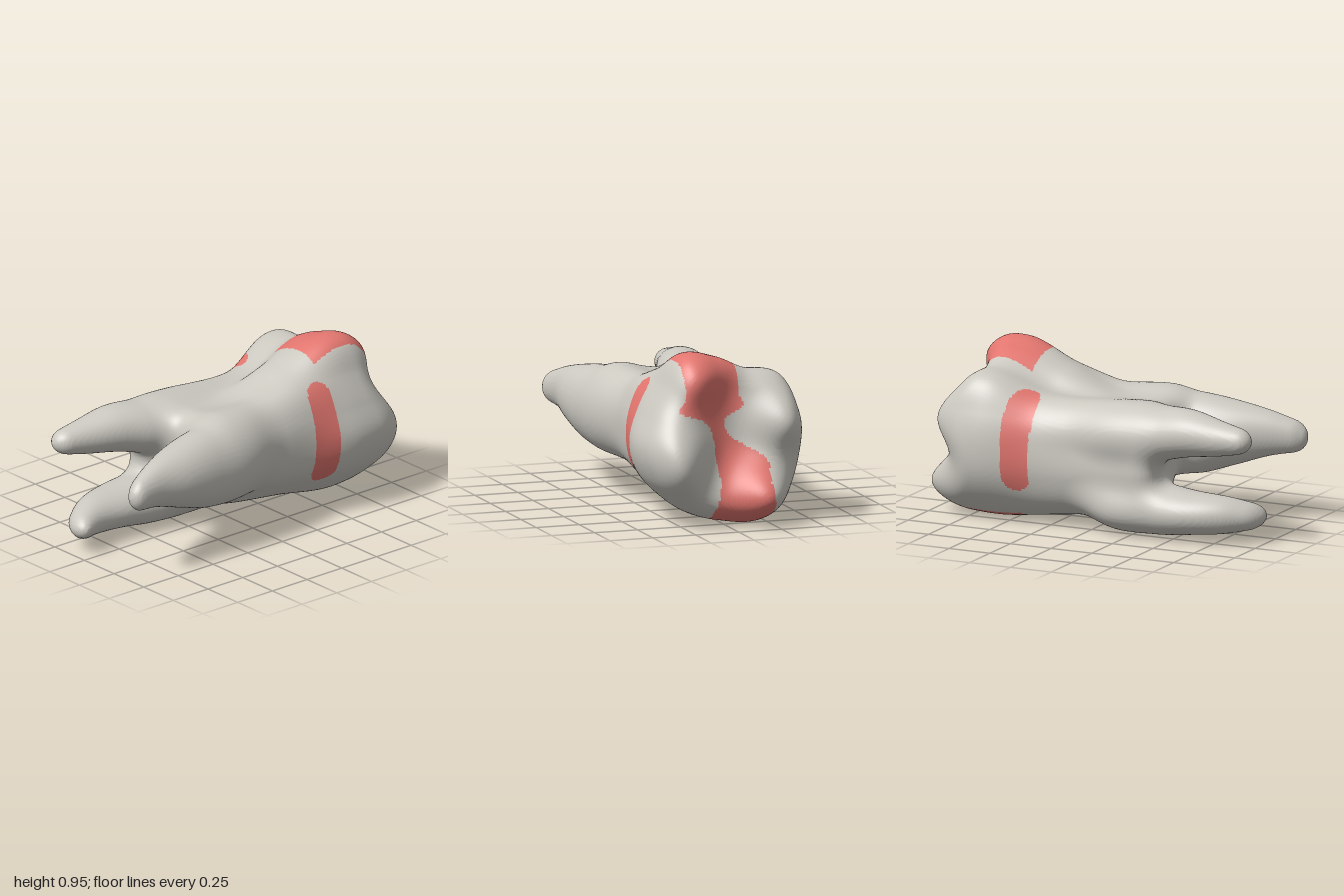
import * as THREE from 'three';

// Crown and trunk: radii every 22.5 degrees around (0, 0.45) at stations along z
const CY = 0.45;
const crownRing = [.46, .435, .45, .525, .465, .427, .502, .483, .478, .485, .48, .475, .433, .427, .427, .452];
const neckRing = [.405, .415, .43, .405, .365, .305, .37, .4, .405, .43, .455, .445, .4, .385, .385, .405];
const trunkRing = [.385, .395, .375, .29, .262, .28, .362, .385, .37, .4, .43, .415, .375, .345, .34, .37];
const forkRing = [.38, .4, .385, .295, .255, .285, .36, .385, .375, .4, .425, .41, .3, .26, .25, .3];
const body = spline([
  [-1.0, ...crownRing.map((r, i) => r * (i > 9 && i < 13 ? 0.94 : 0.89))],
  [-0.6, ...crownRing],
  [-0.3, ...neckRing],
  [0, ...trunkRing],
  [0.35, ...forkRing],
]);

// Roots: z, centre x, centre y, half width, half height
const roots = [
  { tip: 0.985, path: spline([[-.2, -.16, .54, .08, .08], [.1, -.19, .56, .185, .145], [.4, -.205, .58, .18, .15],
    [.6, -.24, .605, .145, .13], [.8, -.265, .6, .1, .095], [.97, -.28, .6, .065, .06]]) },
  { tip: 1.0, path: spline([[-.2, .2, .5, .08, .1], [.1, .255, .485, .18, .23], [.4, .28, .48, .185, .225],
    [.6, .305, .495, .16, .18], [.8, .34, .505, .1, .125], [.97, .385, .49, .06, .08]]) },
  { tip: 0.985, path: spline([[-.2, -.15, .25, .08, .08], [.1, -.205, .165, .18, .135], [.4, -.21, .155, .18, .14],
    [.6, -.22, .155, .16, .12], [.8, -.19, .155, .12, .1], [.97, -.105, .145, .085, .06]]) },
];

// Chewing surface: x, y, height, spread of each cusp
const cusps = [
  [-.34, .57, .18, .13], [.17, .82, .115, .12], [.3, .43, .215, .17],
  [.3, .25, .08, .12], [-.2, .17, .28, .14], [.1, .1, .09, .12],
];

function spline(rows) {
  return new THREE.CubicInterpolant(
    rows.map((r) => r[0]), rows.flatMap((r) => r.slice(1)), rows[0].length - 1);
}

function smin(a, b, k) {
  const h = Math.max(k - Math.abs(a - b), 0) / k;
  return Math.min(a, b) - h * h * k / 4;
}
const smax = (a, b, k) => -smin(-a, -b, k);

// Radius of a closed ring at an angle, smooth between its points
function ringRadius(ring, angle) {
  const n = ring.length;
  const t = (angle / (2 * Math.PI) + 1) * n;
  const i = Math.floor(t), f = t - i;
  const [a, b, c, d] = [-1, 0, 1, 2].map((o) => ring[(i + o + n) % n]);
  return b + 0.5 * f * (c - a + f * (2 * a - 5 * b + 4 * c - d + f * (3 * (b - c) + d - a)));
}

// Signed field of the tooth in one z slice (negative inside)
function slice(z) {
  const ring = Array.from(body.evaluate(z));
  const sections = roots.map((r) => [...r.path.evaluate(z), r.tip]);
  return (x, y) => {
    let d = Math.hypot(x, y - CY) - ringRadius(ring, Math.atan2(y - CY, x));
    if (z < -0.4) {
      let back = -0.72;
      for (const [cx, cy, h, s] of cusps) {
        back -= h * Math.exp(-((x - cx) ** 2 + (y - cy) ** 2) / (2 * s * s));
      }
      d = smax(d, back - z, 0.11);
    }
    d = smax(d, z - 0.37 + 0.15 * x, 0.15);
    for (const [cx, cy, a, b, tip] of sections) {
      let e = (Math.hypot((x - cx) / a, (y - cy) / b) - 1) * Math.min(a, b);
      e = smax(smax(e, z - tip, 0.08), -0.2 - z, 0.05);
      d = smin(d, e, 0.08);
    }
    return d;
  };
}

// Surface of the field: one point per crossed cell, one quad per crossed grid edge
function buildSurface() {
  const h = 0.0125, min = [-0.54, -0.06, -1.065], n = [88, 88, 172];
  const stride = [1, n[0], n[0] * n[1]];
  const values = new Float32Array(n[0] * n[1] * n[2]);
  const at = (i, j, k) => i + j * stride[1] + k * stride[2];
  for (let k = 0; k < n[2]; k++) {
    const f = slice(min[2] + k * h);
    for (let j = 0; j < n[1]; j++) {
      for (let i = 0; i < n[0]; i++) values[at(i, j, k)] = f(min[0] + i * h, min[1] + j * h);
    }
  }
  const positions = [], quads = [];
  const cell = new Int32Array(values.length).fill(-1);
  const corner = (p, c) => p + (c & 1) + (c >> 1 & 1) * stride[1] + (c >> 2) * stride[2];
  for (let k = 0; k < n[2] - 1; k++) for (let j = 0; j < n[1] - 1; j++) for (let i = 0; i < n[0] - 1; i++) {
    const p = at(i, j, k), sum = [0, 0, 0];
    let count = 0;
    for (let c = 0; c < 8; c++) for (let a = 0; a < 3; a++) {
      if (c >> a & 1) continue;
      const v0 = values[corner(p, c)], v1 = values[corner(p, c | 1 << a)];
      if ((v0 < 0) === (v1 < 0)) continue;
      for (let q = 0; q < 3; q++) sum[q] += q === a ? v0 / (v0 - v1) : c >> q & 1;
      count++;
    }
    if (!count) continue;
    cell[p] = positions.length / 3;
    [i, j, k].forEach((g, q) => positions.push(min[q] + (g + sum[q] / count) * h));
  }
  for (let k = 1; k < n[2] - 1; k++) for (let j = 1; j < n[1] - 1; j++) for (let i = 1; i < n[0] - 1; i++) {
    const p = at(i, j, k);
    for (let a = 0; a < 3; a++) {
      const inside = values[p] < 0;
      if (inside === (values[p + stride[a]] < 0)) continue;
      const u = stride[(a + 1) % 3], v = stride[(a + 2) % 3];
      const quad = [p - u - v, p - v, p, p - u].map((c) => cell[c]);
      quads.push(inside ? quad : quad.reverse());
    }
  }
  return { positions, quads };
}

// Painted strip on the chewing surface: y, centre x, half width
const fissure = spline([[.08, -.08, .16], [.25, -.085, .13], [.38, -.075, .14], [.5, .02, .055],
  [.6, .06, .08], [.65, .08, .19], [.72, .07, .17], [.8, .07, .17]]);

// Painted band on each side of the neck; the right one curls over the top
function onBand(x, y, z) {
  if (x > 0.2) return Math.hypot(y - THREE.MathUtils.clamp(y, 0.285, 0.705), z + 0.4) < 0.075;
  if (x > -0.23) return false;
  const curl = y > CY ? THREE.MathUtils.clamp((x + 0.42) / 0.19, 0, 1) : 0;
  const half = 0.075 * Math.sqrt(1 - curl * curl);
  return Math.hypot(Math.min(y - 0.285, 0), z + 0.395 - 0.045 * curl) < half;
}

// Which part a point on the surface belongs to
function partAt(x, y, z) {
  if (onBand(x, y, z)) return 'sideBands';
  if (z < -0.45 && (y < 0.2 || y > 0.6 || z < -0.7)) {
    const [cx, w] = fissure.evaluate(y);
    if (Math.abs(x - cx) < w) return 'fissureStrip';
  }
  return z < 0 ? 'crown' : 'roots';
}

export function createModel() {
  const enamel = new THREE.MeshStandardMaterial({ color: 0xcbc8c0 });
  enamel.name = 'enamel grey';
  const marking = new THREE.MeshStandardMaterial({ color: 0xe2766f });
  marking.name = 'marking red';

  const { positions, quads } = buildSurface();
  const parts = { crown: [], roots: [], sideBands: [], fissureStrip: [] };
  const all = [];
  for (const q of quads) {
    const mid = [0, 1, 2].map((c) => q.reduce((s, v) => s + positions[v * 3 + c], 0) / 4);
    const tris = [q[0], q[1], q[2], q[0], q[2], q[3]];
    parts[partAt(...mid)].push(...tris);
    all.push(...tris);
  }

  // Whole surface first, so normals stay smooth across the parts
  const whole = new THREE.BufferGeometry();
  whole.setAttribute('position', new THREE.Float32BufferAttribute(positions, 3));
  whole.setIndex(all);
  whole.computeBoundingBox();
  const { min, max } = whole.boundingBox;
  whole.translate(-(min.x + max.x) / 2, -min.y, -(min.z + max.z) / 2);
  whole.computeVertexNormals();

  const tooth = new THREE.Group();
  tooth.name = 'tooth';
  for (const [name, index] of Object.entries(parts)) {
    const geometry = new THREE.BufferGeometry();
    geometry.setAttribute('position', whole.attributes.position);
    geometry.setAttribute('normal', whole.attributes.normal);
    geometry.setIndex(index);
    const painted = name === 'sideBands' || name === 'fissureStrip';
    const mesh = new THREE.Mesh(geometry, painted ? marking : enamel);
    mesh.name = name;
    tooth.add(mesh);
  }
  return tooth;
}
